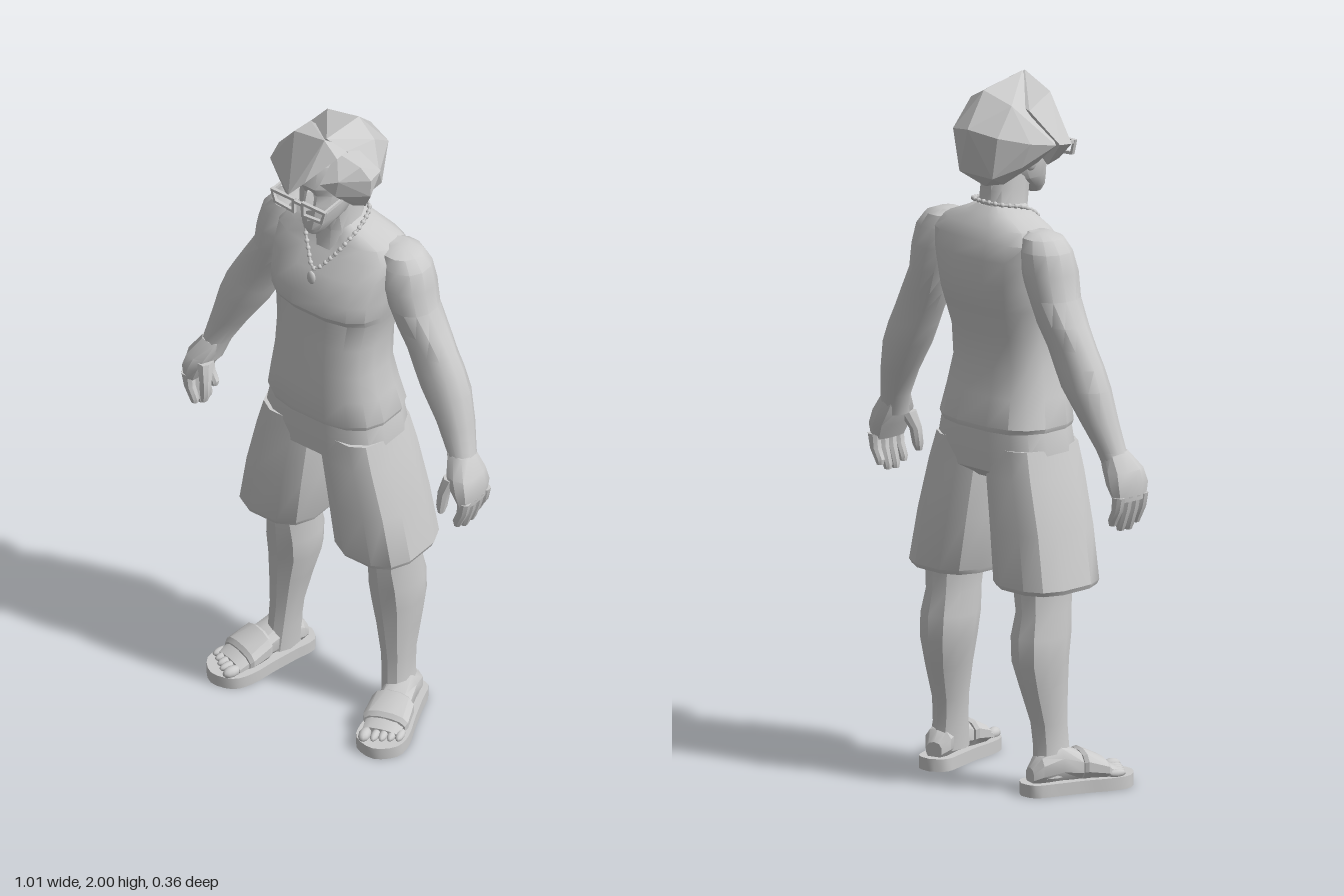
import * as THREE from 'three';
import { toCreasedNormals } from 'three/addons/utils/BufferGeometryUtils.js';
import { ConvexGeometry } from 'three/addons/geometries/ConvexGeometry.js';

const clay = new THREE.MeshStandardMaterial({ color: 0xcccccc });
clay.name = 'light grey';

// Closed skin over horizontal rings [y, centreX, halfWidth, zFront, zBack], listed upwards.
function loft(rings, sides = 12, power = 2.3, crease = 0.6) {
  const pos = [], idx = [];
  const bend = (v) => Math.sign(v) * Math.pow(Math.abs(v), 2 / power);
  for (const [y, cx, hw, zf, zb] of rings) {
    for (let j = 0; j < sides; j++) {
      const a = ((j + 0.5) / sides) * Math.PI * 2;
      pos.push(cx + hw * bend(Math.cos(a)), y, (zf + zb) / 2 + ((zf - zb) / 2) * bend(Math.sin(a)));
    }
  }
  const last = (rings.length - 1) * sides, low = rings.length * sides, high = low + 1;
  for (const r of [rings[0], rings[rings.length - 1]]) pos.push(r[1], r[0], (r[3] + r[4]) / 2);
  for (let j = 0; j < sides; j++) {
    const k = (j + 1) % sides;
    for (let i = 0; i < last; i += sides) {
      idx.push(i + j, i + sides + j, i + k, i + k, i + sides + j, i + sides + k);
    }
    idx.push(low, j, k, high, last + k, last + j);
  }
  const g = new THREE.BufferGeometry();
  g.setAttribute('position', new THREE.Float32BufferAttribute(pos, 3));
  g.setIndex(idx);
  return toCreasedNormals(g, crease);
}

// Moves ring centres to the chosen side of the body.
const side = (rings, s) => rings.map(([y, cx, ...rest]) => [y, cx * s, ...rest]);

function add(parent, name, geometry) {
  const m = new THREE.Mesh(geometry, clay);
  m.name = name;
  parent.add(m);
  return m;
}

function ball(parent, name, x, y, z, rx, ry, rz) {
  const m = add(parent, name, new THREE.SphereGeometry(1, 10, 8));
  m.position.set(x, y, z);
  m.scale.set(rx, ry, rz);
  return m;
}

const hull = (points) => new ConvexGeometry(points.map((p) => new THREE.Vector3(...p)));

function buildArm(body, s) {
  const arm = new THREE.Group();
  arm.name = s > 0 ? 'leftArm' : 'rightArm';
  body.add(arm);
  add(arm, 'armSkin', loft(side([
    [0.96, 0.445, 0.04, 0.015, -0.07], [1.02, 0.425, 0.04, 0.0, -0.085],
    [1.1, 0.393, 0.054, -0.005, -0.11], [1.19, 0.352, 0.074, -0.005, -0.13],
    [1.25, 0.325, 0.079, -0.01, -0.13], [1.3, 0.3, 0.078, -0.015, -0.13],
    [1.36, 0.267, 0.077, -0.01, -0.14], [1.43, 0.235, 0.068, 0.0, -0.15],
    [1.5, 0.215, 0.079, 0.005, -0.155], [1.56, 0.2, 0.078, -0.005, -0.15],
    [1.595, 0.19, 0.06, -0.02, -0.135], [1.61, 0.18, 0.03, -0.05, -0.11],
  ], s), 12, 2.1));
  add(arm, 'palm', loft(side([
    [0.885, 0.477, 0.022, 0.035, -0.08], [0.93, 0.468, 0.038, 0.043, -0.09],
    [0.97, 0.453, 0.044, 0.035, -0.085], [1.02, 0.428, 0.036, 0.0, -0.075],
  ], s), 10, 2.6));
  for (let i = 0; i < 4; i++) {
    const z = 0.02 - i * 0.03, tip = [0.81, 0.795, 0.797, 0.815][i];
    add(arm, 'finger', loft(side([
      [tip, 0.458, 0.01, z + 0.01, z - 0.01], [tip + 0.015, 0.46, 0.015, z + 0.014, z - 0.014],
      [0.86, 0.476, 0.017, z + 0.016, z - 0.016], [0.9, 0.482, 0.02, z + 0.016, z - 0.016],
    ], s), 8));
  }
  add(arm, 'thumb', loft(side([
    [0.845, 0.413, 0.009, 0.046, 0.026], [0.865, 0.412, 0.015, 0.048, 0.015],
    [0.91, 0.416, 0.017, 0.045, 0.008], [0.96, 0.43, 0.022, 0.035, -0.02],
  ], s), 8));
}

function buildLeg(body, s) {
  const leg = new THREE.Group();
  leg.name = s > 0 ? 'leftLeg' : 'rightLeg';
  body.add(leg);
  add(leg, 'shortsLeg', loft(side([
    [0.585, 0.166, 0.12, 0.094, -0.172], [0.598, 0.166, 0.126, 0.1, -0.18],
    [0.75, 0.142, 0.122, 0.103, -0.172], [0.9, 0.112, 0.112, 0.105, -0.165],
    [0.98, 0.1, 0.1, 0.1, -0.155],
  ], s), 12, 2.8));
  add(leg, 'shin', loft(side([
    [0.05, 0.205, 0.045, 0.01, -0.115], [0.13, 0.198, 0.042, 0.0, -0.105],
    [0.2, 0.194, 0.045, -0.005, -0.11], [0.3, 0.187, 0.057, 0.0, -0.14],
    [0.38, 0.18, 0.07, 0.005, -0.16], [0.45, 0.178, 0.073, 0.015, -0.16],
    [0.52, 0.177, 0.063, 0.022, -0.145], [0.62, 0.172, 0.072, 0.03, -0.15],
  ], s), 10));

  // Foot and sandal, turned outwards.
  const foot = new THREE.Group();
  foot.name = 'foot';
  foot.position.set(0.232 * s, 0, 0.012);
  foot.rotation.y = 0.3 * s;
  leg.add(foot);
  const outline = new THREE.Shape();
  outline.setFromPoints(new THREE.SplineCurve([
    [0, -0.172], [0.045, -0.15], [0.053, -0.08], [0.062, 0], [0.073, 0.08], [0.06, 0.14],
    [0, 0.172], [-0.06, 0.14], [-0.07, 0.08], [-0.058, 0], [-0.053, -0.08], [-0.045, -0.15], [0, -0.172],
  ].map((p) => new THREE.Vector2(...p))).getPoints(36));
  const sole = new THREE.ExtrudeGeometry(outline, { depth: 0.036, bevelEnabled: false });
  add(foot, 'sandalSole', toCreasedNormals(sole.rotateX(Math.PI / 2).translate(0, 0.038, 0), 0.7));
  // These skins run along z: the last two ring numbers are minus the bottom and minus the top.
  add(foot, 'footSkin', loft([
    [-0.145, 0, 0.025, -0.03, -0.08], [-0.12, 0, 0.042, -0.03, -0.115],
    [-0.06, 0, 0.046, -0.03, -0.14], [0, 0, 0.05, -0.03, -0.115],
    [0.06, 0, 0.058, -0.03, -0.085], [0.11, 0, 0.056, -0.03, -0.06],
  ], 10).rotateX(Math.PI / 2));
  add(foot, 'sandalStrap', loft([
    [0.0, 0, 0.056, -0.03, -0.116], [0.01, 0, 0.063, -0.03, -0.122],
    [0.07, 0, 0.068, -0.03, -0.092], [0.08, 0, 0.062, -0.03, -0.08],
  ], 12, 2.3, 0.4).rotateX(Math.PI / 2));
  for (let i = 0; i < 5; i++) {
    const r = i ? 0.012 : 0.017;
    ball(foot, 'toe', s * (-0.04 + i * 0.022 + (i ? 0.006 : 0)), 0.046, 0.13 - i * 0.008, r, r, 0.028);
  }
}

function buildHead(body) {
  const head = new THREE.Group();
  head.name = 'head';
  body.add(head);
  add(head, 'face', loft([
    [1.665, 0, 0.02, 0.095, 0.055], [1.685, 0, 0.038, 0.102, 0.02],
    [1.72, 0, 0.06, 0.1, -0.05], [1.77, 0, 0.073, 0.1, -0.1],
    [1.8, 0, 0.075, 0.092, -0.11], [1.83, 0, 0.079, 0.105, -0.11],
    [1.9, 0, 0.075, 0.09, -0.1], [1.94, 0, 0.045, 0.05, -0.07],
  ], 12, 2.2));
  add(head, 'nose', hull([[-0.017, 1.755, 0.095], [0.017, 1.755, 0.095], [0, 1.76, 0.124],
    [0, 1.815, 0.108], [-0.009, 1.815, 0.09], [0.009, 1.815, 0.09], [0, 1.75, 0.105]]));
  add(head, 'mouth', hull([[-0.025, 1.722, 0.09], [0.025, 1.722, 0.09], [0, 1.728, 0.107],
    [0, 1.714, 0.107], [0, 1.72, 0.085]]));
  // Hair: back mass, swept fringe and smaller side lock.
  add(head, 'hairBack', hull([
    [0.04, 2.0, 0.07], [0.03, 1.975, -0.09], [-0.08, 1.95, -0.09], [0.1, 1.94, -0.07], [0, 1.885, -0.183],
    [-0.09, 1.87, -0.155], [0.08, 1.87, -0.16], [-0.175, 1.84, -0.01], [-0.145, 1.85, -0.08],
    [0.14, 1.86, -0.04], [0.11, 1.78, -0.09], [-0.12, 1.78, -0.09], [-0.07, 1.75, -0.155],
    [0.06, 1.75, -0.155], [0, 1.71, -0.115], [-0.05, 1.72, -0.09], [0.05, 1.72, -0.09],
    [-0.11, 1.78, -0.02], [0.11, 1.78, -0.02], [0.08, 1.95, 0.03],
  ]));
  add(head, 'hairFringe', hull([
    [0.04, 2.0, 0.08], [-0.08, 1.965, 0.06], [-0.18, 1.84, 0.0], [-0.165, 1.83, 0.06], [-0.12, 1.77, 0.01],
    [-0.09, 1.77, 0.085], [-0.065, 1.79, 0.12], [-0.02, 1.835, 0.167], [0.02, 1.88, 0.145],
    [0.08, 1.95, 0.075], [0.08, 1.95, 0.0], [-0.1, 1.93, -0.04],
  ]));
  add(head, 'hairLock', hull([
    [0.06, 1.95, 0.05], [0.1, 1.945, 0.0], [0.135, 1.925, 0.04], [0.16, 1.88, 0.025], [0.155, 1.82, 0.02],
    [0.13, 1.77, 0.01], [0.1, 1.77, 0.03], [0.085, 1.83, 0.09], [0.05, 1.87, 0.115],
    [0.1, 1.89, 0.095], [0.1, 1.78, -0.06], [0.145, 1.87, -0.04],
  ]));
  // Glasses: two frames, a bridge and side arms.
  const frame = new THREE.Shape([[0.012, 1.762], [0.085, 1.768], [0.096, 1.812], [0.012, 1.812]]
    .map((p) => new THREE.Vector2(...p)));
  frame.holes.push(new THREE.Path([[0.021, 1.771], [0.021, 1.803], [0.086, 1.803], [0.078, 1.776]]
    .map((p) => new THREE.Vector2(...p))));
  for (const s of [1, -1]) {
    const g = new THREE.ExtrudeGeometry(frame, { depth: 0.01, bevelEnabled: false });
    if (s < 0) g.rotateY(Math.PI).translate(0, 0, 0.01);
    add(head, 'glassesFrame', g.translate(0, 0, 0.14));
    add(head, 'glassesArm', new THREE.BoxGeometry(0.007, 0.01, 0.18)).position.set(0.09 * s, 1.807, 0.055);
    ball(head, 'ear', 0.08 * s, 1.785, -0.015, 0.014, 0.034, 0.022);
  }
  add(head, 'glassesBridge', new THREE.BoxGeometry(0.03, 0.009, 0.01)).position.set(0, 1.802, 0.145);
}

export function createModel() {
  const body = new THREE.Group();
  body.name = 'standingMan';

  // Vest-clad torso with chest step and sloping shoulders.
  add(body, 'torso', loft([
    [1.025, 0, 0.192, 0.105, -0.165], [1.04, 0, 0.198, 0.11, -0.17], [1.12, 0, 0.183, 0.107, -0.15],
    [1.2, 0, 0.168, 0.103, -0.135], [1.29, 0, 0.165, 0.098, -0.145], [1.375, 0, 0.178, 0.092, -0.17],
    [1.4, 0, 0.186, 0.108, -0.177], [1.45, 0, 0.19, 0.106, -0.185], [1.52, 0, 0.2, 0.075, -0.185],
    [1.57, 0, 0.205, 0.04, -0.175], [1.605, 0, 0.175, 0.02, -0.155], [1.635, 0, 0.1, 0.01, -0.135],
    [1.655, 0, 0.06, 0.005, -0.115],
  ], 16, 2.7));
  add(body, 'neck', loft([
    [1.56, 0, 0.075, 0.04, -0.14], [1.64, 0, 0.06, 0.025, -0.115], [1.7, 0, 0.057, 0.035, -0.11],
    [1.77, 0, 0.057, 0.04, -0.11],
  ], 12));
  add(body, 'shortsHips', loft([
    [0.88, 0, 0.13, 0.06, -0.12], [0.91, 0, 0.205, 0.1, -0.16], [0.97, 0, 0.205, 0.105, -0.165],
    [1.03, 0, 0.192, 0.102, -0.162],
  ], 16, 2.8));

  // Beaded necklace with pendant.
  const cord = new THREE.CatmullRomCurve3([
    [0, 1.53, 0.076], [0.04, 1.57, 0.05], [0.068, 1.615, 0.022], [0.078, 1.65, -0.04], [0.05, 1.665, -0.11],
    [-0.05, 1.665, -0.11], [-0.078, 1.65, -0.04], [-0.068, 1.615, 0.022], [-0.04, 1.57, 0.05],
  ].map((p) => new THREE.Vector3(...p)), true);
  add(body, 'necklaceCord', new THREE.TubeGeometry(cord, 48, 0.004, 5, true));
  for (const p of cord.getSpacedPoints(32).slice(1)) ball(body, 'bead', p.x, p.y, p.z, 0.007, 0.007, 0.007);
  ball(body, 'pendant', 0, 1.505, 0.088, 0.014, 0.022, 0.008);

  buildHead(body);
  for (const s of [1, -1]) {
    buildArm(body, s);
    buildLeg(body, s);
  }
  return body;
}
